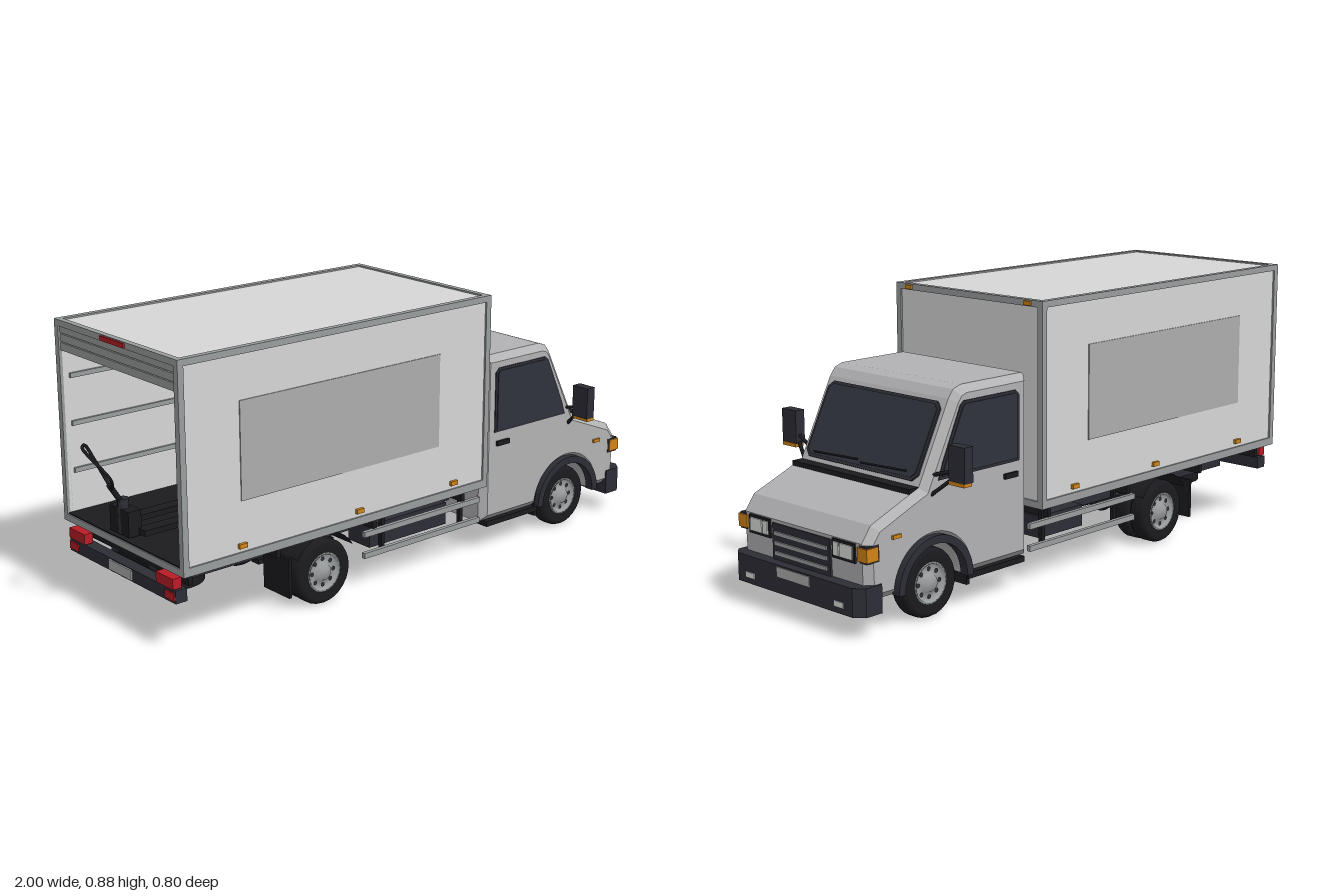
import * as THREE from 'three';

const mat = (name, color, side = THREE.FrontSide) => {
  const m = new THREE.MeshStandardMaterial({ color, side });
  m.name = name;
  return m;
};

export function createModel() {
  const M = {
    white: mat('cargo panel white', 0xd6d6d6),
    grey: mat('cab paint grey', 0xb2b2b4),
    trim: mat('trim grey', 0x9a9d9e),
    decal: mat('side panel grey', 0xadadae),
    dark: mat('dark plastic', 0x2d2d36),
    black: mat('black rubber', 0x1b1b1f, THREE.DoubleSide),
    glass: mat('tinted glass', 0x30323d),
    orange: mat('amber lamp', 0xd08418),
    red: mat('red lamp', 0xb81c26),
    lamp: mat('clear lamp', 0xdadddb),
  };
  const root = new THREE.Group();
  root.name = 'boxTruck';
  const add = (name, geo, m, parent = root) => {
    const mesh = new THREE.Mesh(geo, m);
    mesh.name = name;
    parent.add(mesh);
    return mesh;
  };
  // box given by its limits on each axis
  const slab = (name, m, x0, x1, y0, y1, z0, z1, parent = root) => {
    const b = add(name, new THREE.BoxGeometry(x1 - x0, y1 - y0, z1 - z0), m, parent);
    b.position.set((x0 + x1) / 2, (y0 + y1) / 2, (z0 + z1) / 2);
    return b;
  };
  // same box mirrored to both sides of the truck
  const pair = (name, m, x0, x1, y0, y1, z0, z1) => {
    slab(name, m, x0, x1, y0, y1, z0, z1);
    slab(name, m, x0, x1, y0, y1, -z1, -z0);
  };
  const rod = (name, m, a, b, r) => {
    const A = new THREE.Vector3(...a), B = new THREE.Vector3(...b);
    const c = add(name, new THREE.CylinderGeometry(r, r, A.distanceTo(B), 8), m);
    c.position.copy(A).add(B).multiplyScalar(0.5);
    c.quaternion.setFromUnitVectors(new THREE.Vector3(0, 1, 0), B.sub(A).normalize());
    return c;
  };
  const poly = (pts) => new THREE.Shape(pts.map((p) => new THREE.Vector2(...p)));
  const plate = (shape, depth) =>
    new THREE.ExtrudeGeometry(shape, { depth, bevelEnabled: false, curveSegments: 20 });

  // Cargo box: recessed panels, open at the rear
  const X0 = -0.91, X1 = 0.29, Y0 = 0.255, Y1 = 0.885, Z = 0.317;
  pair('cargoSide', M.white, X0 + 0.01, X1 - 0.01, Y0 + 0.01, Y1 - 0.01, Z - 0.02, Z - 0.006);
  slab('cargoRoof', M.white, X0 + 0.01, X1 - 0.01, Y1 - 0.02, Y1 - 0.005, -Z + 0.01, Z - 0.01);
  slab('cargoFront', M.white, X1 - 0.02, X1 - 0.006, Y0 + 0.01, Y1 - 0.01, -Z + 0.01, Z - 0.01);
  slab('cargoFloor', M.black, X0 + 0.004, X1 - 0.01, Y0 - 0.005, Y0 + 0.02, -Z + 0.01, Z - 0.01);
  for (const x of [X0, X1 - 0.02]) {
    pair('cornerPost', M.trim, x, x + 0.02, Y0, Y1, Z - 0.02, Z);
    slab('crossTopRail', M.trim, x, x + 0.02, Y1 - 0.02, Y1, -Z, Z);
    slab('crossBottomRail', M.trim, x, x + 0.02, Y0 - 0.006, Y0 + 0.016, -Z, Z);
  }
  pair('topRail', M.trim, X0, X1, Y1 - 0.02, Y1, Z - 0.02, Z);
  pair('bottomRail', M.trim, X0, X1, Y0 - 0.006, Y0 + 0.02, Z - 0.02, Z);
  pair('sidePanel', M.decal, -0.70, 0.075, 0.43, 0.73, Z - 0.006, Z - 0.003);
  for (const y of [0.4, 0.55, 0.7]) pair('innerRail', M.trim, X0 + 0.03, X1 - 0.03, y, y + 0.015, Z - 0.028, Z - 0.02);
  // Partly raised roller door
  for (let i = 0; i < 3; i++)
    slab('doorSlat', M.trim, X0 + 0.006, X0 + 0.02, 0.79 + i * 0.027, 0.814 + i * 0.027, -Z + 0.02, Z - 0.02);
  slab('doorBacking', M.white, X0 + 0.014, X0 + 0.024, 0.79, 0.87, -Z + 0.02, Z - 0.02);
  slab('rearTopLamp', M.red, X0 - 0.006, X0, 0.868, 0.882, -0.06, 0.06);
  // Marker lamps
  for (const x of [-0.7, -0.255, 0.14]) pair('sideMarker', M.orange, x - 0.014, x + 0.014, 0.288, 0.302, Z - 0.008, Z + 0.004);
  pair('roofMarker', M.orange, X1 - 0.002, X1 + 0.006, 0.868, 0.881, 0.243, 0.271);

  // Cab body with wheel arches cut through it
  const side = poly([[0.31, 0.105], [0.575, 0.105]]);
  side.curves.length = 0;
  side.moveTo(0.31, 0.105);
  side.lineTo(0.575, 0.105);
  side.absarc(0.71, 0.105, 0.135, Math.PI, 0, true);
  [[0.96, 0.105], [0.965, 0.275], [0.93, 0.322], [0.78, 0.382], [0.746, 0.395], [0.625, 0.635],
    [0.605, 0.66], [0.575, 0.67], [0.32, 0.67], [0.31, 0.66], [0.31, 0.105]].forEach((p) => side.lineTo(...p));
  const bevel = 0.022;
  const cab = add('cabBody', new THREE.ExtrudeGeometry(side, {
    depth: 0.56 - 2 * bevel, bevelThickness: bevel, bevelSize: bevel, bevelOffset: -bevel,
    bevelSegments: 1, curveSegments: 16,
  }), M.grey);
  cab.position.z = -0.28 + bevel;

  // Windscreen, seal and wipers on the sloped face
  const screen = new THREE.Group();
  screen.name = 'windscreen';
  screen.position.set(0.6855, 0.515, 0);
  screen.rotation.set(0, Math.PI / 2, Math.atan2(0.121, 0.24), 'ZYX');
  root.add(screen);
  const pane = (w, h, c) => poly([[-w + c, -h], [w - c, -h], [w, -h + c], [w, h - c], [w - c, h], [-w + c, h], [-w, h - c], [-w, -h + c]]);
  add('windscreenSeal', plate(pane(0.245, 0.121, 0.02), 0.006), M.dark, screen);
  add('windscreenGlass', plate(pane(0.236, 0.112, 0.016), 0.009), M.glass, screen);
  for (const x of [-0.105, 0.105]) {
    const w = slab('wiper', M.black, x - 0.095, x + 0.095, -0.103, -0.098, 0.009, 0.016, screen);
    w.rotation.z = 0.04;
  }
  slab('cowl', M.black, 0.742, 0.782, 0.375, 0.396, -0.258, 0.258);

  // Parts repeated on both sides of the cab
  const winOuter = poly([[0.355, 0.41], [0.69, 0.41], [0.672, 0.46], [0.6, 0.615], [0.585, 0.627], [0.37, 0.627], [0.355, 0.612]]);
  const winInner = poly([[0.364, 0.419], [0.677, 0.419], [0.663, 0.457], [0.592, 0.608], [0.582, 0.618], [0.375, 0.618], [0.364, 0.608]]);
  const flare = new THREE.Shape();
  flare.absarc(0, 0, 0.148, 0, Math.PI, false);
  flare.absarc(0, 0, 0.124, Math.PI, 0, true);
  for (const s of [1, -1]) {
    const on = (name, geo, m, z, d) => { add(name, geo, m).position.z = s > 0 ? z : -z - d; };
    on('sideWindowSeal', plate(winOuter, 0.004), M.dark, 0.279, 0.004);
    on('sideWindow', plate(winInner, 0.007), M.glass, 0.279, 0.007);
    const f = add('wheelArchFlare', plate(flare, 0.03), M.dark);
    f.position.set(0.71, 0.105, s > 0 ? 0.263 : -0.293);
    // Mirror
    slab('mirrorHousing', M.dark, 0.668, 0.702, 0.42, 0.525, s * 0.3675 - 0.0325, s * 0.3675 + 0.0325);
    slab('mirrorLamp', M.orange, 0.672, 0.704, 0.41, 0.421, s * 0.3675 - 0.031, s * 0.3675 + 0.031);
    rod('mirrorArm', M.black, [0.705, 0.425, s * 0.265], [0.685, 0.448, s * 0.345], 0.006);
    rod('mirrorArm', M.black, [0.715, 0.368, s * 0.272], [0.685, 0.43, s * 0.345], 0.006);
  }
  pair('doorHandle', M.black, 0.365, 0.42, 0.363, 0.379, 0.279, 0.289);
  pair('fenderLamp', M.orange, 0.84, 0.872, 0.274, 0.285, 0.276, 0.287);
  pair('cabStep', M.black, 0.33, 0.57, 0.088, 0.106, 0.22, 0.28);
  pair('frontMudFlap', M.black, 0.562, 0.574, 0.07, 0.15, 0.19, 0.275);

  // Nose: grille, headlamps, indicators, bumper
  slab('grille', M.dark, 0.95, 0.969, 0.155, 0.265, -0.128, 0.128);
  for (const y of [0.176, 0.206, 0.236]) slab('grilleSlat', M.trim, 0.96, 0.974, y - 0.006, y + 0.006, -0.116, 0.116);
  pair('headlampSurround', M.black, 0.95, 0.97, 0.215, 0.272, 0.138, 0.234);
  pair('headlampInner', M.lamp, 0.96, 0.974, 0.224, 0.264, 0.146, 0.168);
  pair('headlampOuter', M.lamp, 0.96, 0.974, 0.224, 0.264, 0.173, 0.226);
  pair('indicatorSurround', M.dark, 0.92, 0.966, 0.22, 0.27, 0.25, 0.281);
  pair('indicator', M.orange, 0.926, 0.97, 0.225, 0.265, 0.245, 0.285);
  const bump = poly([[0.915, -0.285], [0.975, -0.285], [1, -0.255], [1, 0.255], [0.975, 0.285], [0.915, 0.285]]);
  const bumper = add('frontBumper', plate(bump, 0.085), M.dark);
  bumper.rotation.x = -Math.PI / 2;
  bumper.position.y = 0.07;
  slab('numberPlate', M.decal, 0.998, 1.003, 0.119, 0.15, -0.073, 0.073);
  pair('fogLamp', M.lamp, 0.996, 1.003, 0.088, 0.105, 0.178, 0.218);

  // Chassis
  pair('chassisRail', M.dark, -0.87, 0.6, 0.145, 0.208, 0.08, 0.12);
  for (const x of [-0.87, -0.55, -0.17, 0.21]) {
    slab('crossMember', M.black, x, x + 0.015, 0.15, 0.2, -0.1, 0.1);
    slab('outrigger', M.black, x, x + 0.015, 0.205, 0.255, -0.28, 0.28);
  }
  slab('engineBlock', M.black, 0.58, 0.9, 0.08, 0.24, -0.1, 0.1);
  slab('gearbox', M.black, 0.3, 0.58, 0.1, 0.18, -0.05, 0.05);
  rod('driveShaft', M.black, [0.3, 0.13, 0], [-0.355, 0.105, 0], 0.015);
  rod('frontAxle', M.black, [0.71, 0.105, -0.22], [0.71, 0.105, 0.22], 0.018);
  rod('rearAxle', M.black, [-0.355, 0.105, -0.22], [-0.355, 0.105, 0.22], 0.022);
  add('differential', new THREE.SphereGeometry(0.045, 12, 8), M.black).position.set(-0.355, 0.105, 0);
  pair('leafSpring', M.black, -0.5, -0.2, 0.125, 0.14, 0.09, 0.125);
  slab('fuelTank', M.dark, -0.15, 0.18, 0.125, 0.2, 0.14, 0.24);
  slab('batteryBox', M.dark, 0.02, 0.22, 0.13, 0.2, -0.24, -0.14);
  for (const y of [0.12, 0.19]) pair('sideGuardRail', M.trim, -0.2, 0.3, y - 0.009, y + 0.009, 0.262, 0.276);
  for (const x of [-0.12, 0.22]) pair('guardBracket', M.black, x, x + 0.014, 0.11, 0.255, 0.25, 0.263);
  const spare = add('spareWheel', new THREE.CylinderGeometry(0.1, 0.1, 0.04, 24), M.black);
  spare.position.set(-0.735, 0.125, 0);

  // Rear bumper and lamps
  slab('rearBumper', M.dark, -0.915, -0.875, 0.16, 0.2, -0.28, 0.28);
  slab('rearPlate', M.decal, -0.92, -0.914, 0.165, 0.197, -0.06, 0.06);
  pair('tailLamp', M.red, -0.92, -0.89, 0.203, 0.236, 0.19, 0.275);
  pair('bumperReflector', M.red, -0.919, -0.91, 0.168, 0.192, 0.23, 0.278);
  pair('rearMudFlap', M.black, -0.5, -0.49, 0.06, 0.19, 0.15, 0.275);

  // Wheels: lathe profiles turned about the z axis
  const v = (pts) => pts.map((p) => new THREE.Vector2(...p));
  const tyreGeo = new THREE.LatheGeometry(v([[0.062, -0.028], [0.09, -0.031], [0.1, -0.026], [0.105, -0.016],
    [0.105, 0.016], [0.1, 0.026], [0.09, 0.031], [0.062, 0.028]]), 28).rotateX(Math.PI / 2);
  const rimGeo = new THREE.LatheGeometry(v([[0.064, -0.02], [0.064, 0.029], [0.057, 0.029], [0.053, 0.016],
    [0.03, 0.02], [0.024, 0.032], [0.0, 0.034]]), 24).rotateX(Math.PI / 2);
  const rimMat = M.trim;
  const wheel = (x, z, s) => {
    const g = new THREE.Group();
    g.name = 'wheel';
    g.position.set(x, 0.105, z);
    if (s < 0) g.rotation.y = Math.PI;
    root.add(g);
    add('tyre', tyreGeo, M.black, g);
    add('rim', rimGeo, rimMat, g);
    add('rimBack', new THREE.CircleGeometry(0.064, 20), M.black, g).position.z = -0.02;
    for (let i = 0; i < 8; i++) {
      const a = (i * Math.PI) / 4;
      const h = add('rimHole', new THREE.CircleGeometry(0.008, 8), M.dark, g);
      h.position.set(0.042 * Math.cos(a), 0.042 * Math.sin(a), 0.0205);
    }
  };
  const guard = new THREE.CylinderGeometry(0.125, 0.125, 0.13, 16, 1, true, -Math.PI / 3, (2 * Math.PI) / 3);
  guard.rotateX(-Math.PI / 2);
  for (const s of [1, -1]) {
    wheel(0.71, s * 0.237, s);
    wheel(-0.355, s * 0.237, s);
    wheel(-0.355, s * 0.173, s);
    add('rearWheelGuard', guard, M.black).position.set(-0.355, 0.11, s * 0.208);
  }

  // Pallet jack standing in the open rear
  for (const z of [-0.09, 0.03]) slab('jackFork', M.black, -0.86, -0.45, 0.285, 0.303, z - 0.022, z + 0.022);
  slab('jackBody', M.black, -0.895, -0.85, 0.28, 0.36, -0.08, 0.02);
  rod('jackPump', M.dark, [-0.88, 0.28, -0.03], [-0.88, 0.39, -0.03], 0.018);
  rod('jackShaft', M.black, [-0.88, 0.37, -0.03], [-0.925, 0.44, -0.03], 0.009);
  const loop = new THREE.CatmullRomCurve3([[-0.918, 0.43, -0.03], [-0.935, 0.5, -0.08], [-0.955, 0.55, -0.1],
    [-0.99, 0.557, -0.06], [-0.993, 0.54, -0.01], [-0.955, 0.48, 0.025]].map((p) => new THREE.Vector3(...p)), true);
  add('jackHandle', new THREE.TubeGeometry(loop, 32, 0.005, 6, true), M.black);

  return root;
}
